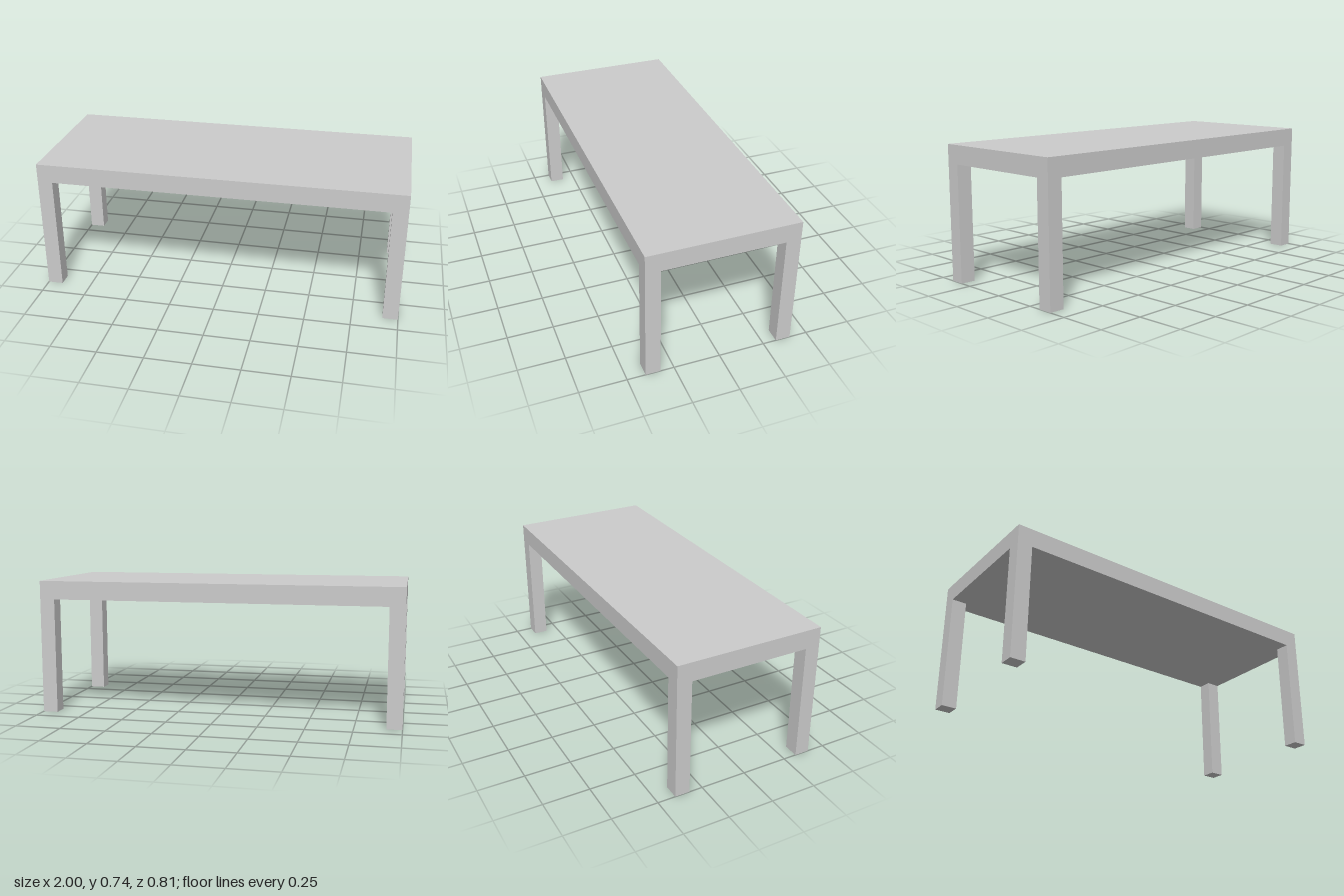
import * as THREE from 'three';

const WIDTH = 2, DEPTH = 0.806, HEIGHT = 0.742;
const TOP = 0.102;               // thickness of the table top
const LEG_X = 0.083, LEG_Z = 0.08; // leg section

export function createModel() {
  const group = new THREE.Group();
  group.name = 'table';
  const material = new THREE.MeshStandardMaterial({ color: 0xcccccc, flatShading: true });

  const addBox = (name, w, h, d, x, y, z) => {
    const mesh = new THREE.Mesh(new THREE.BoxGeometry(w, h, d), material);
    mesh.name = name;
    mesh.position.set(x, y, z);
    group.add(mesh);
  };

  // Thick slab top
  addBox('tableTop', WIDTH, TOP, DEPTH, 0, HEIGHT - TOP / 2, 0);

  // Four corner legs, flush with the edges of the top
  const legHeight = HEIGHT - TOP;
  for (const [side, sx] of [['Left', 1], ['Right', -1]]) {
    for (const [end, sz] of [['front', 1], ['back', -1]]) {
      addBox(`${end}${side}Leg`, LEG_X, legHeight, LEG_Z,
        sx * (WIDTH - LEG_X) / 2, legHeight / 2, sz * (DEPTH - LEG_Z) / 2);
    }
  }
  return group;
}
